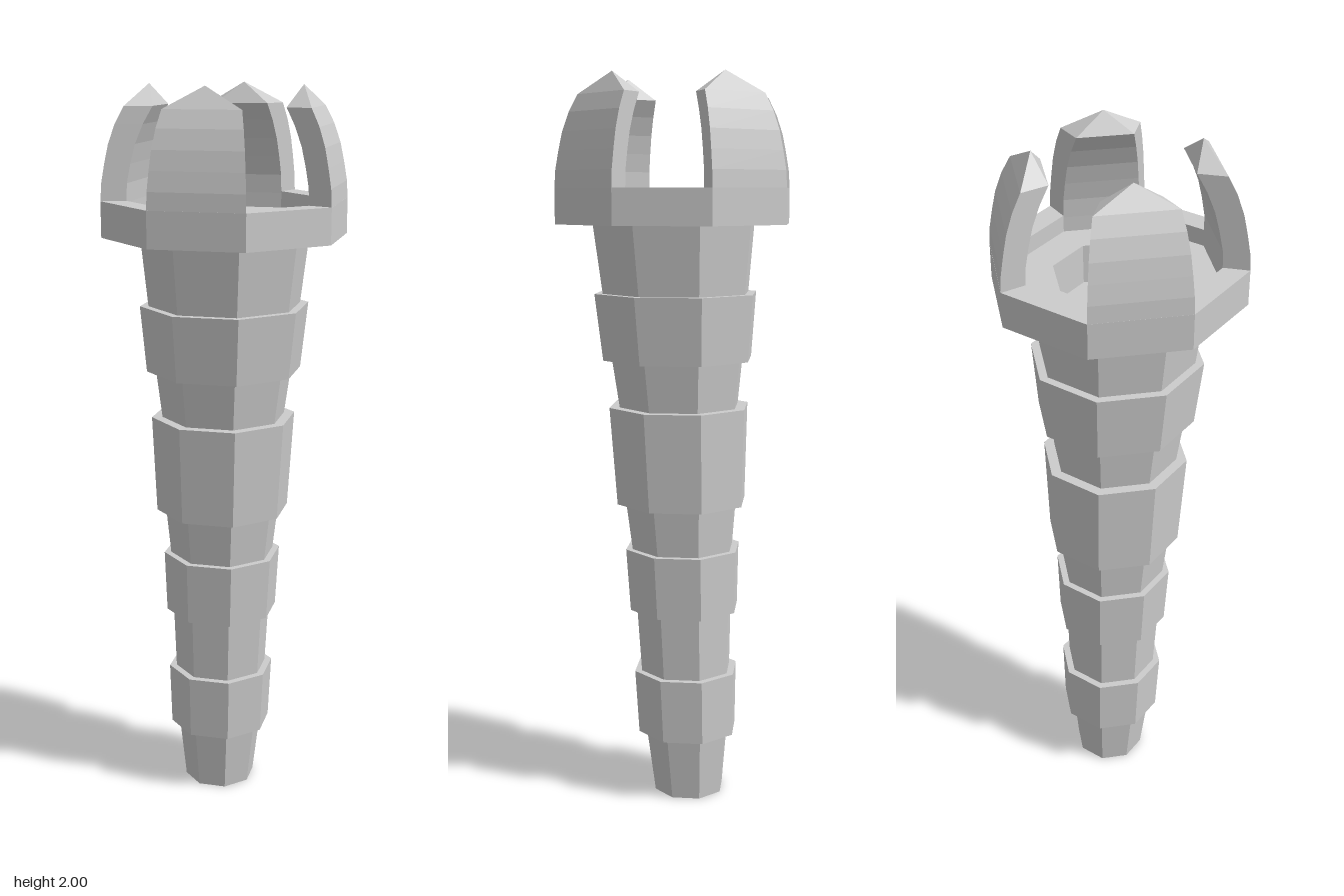
import * as THREE from 'three';

const SIDES = 8;

function material() {
  return new THREE.MeshStandardMaterial({ color: 0xcccccc, flatShading: true });
}

function octagonLathe(name, profile) {
  const points = profile.map(([r, y]) => new THREE.Vector2(r, y));
  const mesh = new THREE.Mesh(new THREE.LatheGeometry(points, SIDES), material());
  mesh.name = name;
  return mesh;
}

// Curved prong standing on one octagon face, ending in a low pyramid
function prongGeometry() {
  // height, outer radius, inner radius
  const rows = [
    [1.7, 0.33, 0.262], [1.75, 0.327, 0.26], [1.8, 0.318, 0.25],
    [1.85, 0.307, 0.237], [1.9, 0.289, 0.216], [1.945, 0.265, 0.19],
  ];
  const angles = [Math.PI / 4, Math.PI / 2];
  const positions = [];
  const index = [];
  rows.forEach(([y, outer, inner]) => {
    const corners = [[outer, angles[0]], [outer, angles[1]], [inner, angles[1]], [inner, angles[0]]];
    corners.forEach(([r, a]) => positions.push(r * Math.sin(a), y, r * Math.cos(a)));
  });
  const apex = rows.length * 4;
  positions.push(0.19, 2, 0.08);
  for (let k = 0; k < rows.length; k++) {
    for (let i = 0; i < 4; i++) {
      const a = k * 4 + i;
      const b = k * 4 + (i + 1) % 4;
      if (k < rows.length - 1) index.push(a, b, b + 4, a, b + 4, a + 4);
      else index.push(a, b, apex);
    }
  }
  const geometry = new THREE.BufferGeometry();
  geometry.setAttribute('position', new THREE.Float32BufferAttribute(positions, 3));
  geometry.setIndex(index);
  geometry.computeVertexNormals();
  return geometry;
}

export function createModel() {
  const model = new THREE.Group();

  // Tapered handle: alternating grip sections and raised bands
  // bottom height, top height, bottom radius, top radius
  const sections = [
    [0, 0.18, 0.1, 0.12], [0.18, 0.36, 0.143, 0.15],
    [0.36, 0.54, 0.13, 0.138], [0.54, 0.715, 0.157, 0.165],
    [0.715, 0.845, 0.146, 0.16], [0.845, 1.115, 0.185, 0.199],
    [1.115, 1.245, 0.17, 0.187], [1.245, 1.425, 0.212, 0.23],
    [1.425, 1.61, 0.207, 0.228],
  ];
  const profile = [[0, 0]];
  sections.forEach(([y0, y1, r0, r1]) => profile.push([r0, y0], [r1, y1]));
  const handle = octagonLathe('handle', profile);

  // Lean the handle slightly back toward its foot
  const p = handle.geometry.attributes.position;
  for (let i = 0; i < p.count; i++) {
    const t = 1 - p.getY(i) / 1.61;
    p.setX(i, p.getX(i) - 0.012 * t);
    p.setZ(i, p.getZ(i) - 0.04 * t);
  }
  handle.geometry.computeVertexNormals();
  model.add(handle);

  // Socket collar with a stepped recess
  model.add(octagonLathe('collar', [
    [0.22, 1.61], [0.33, 1.61], [0.33, 1.705], [0.262, 1.705],
    [0.262, 1.66], [0.167, 1.66], [0.165, 1.555], [0, 1.555],
  ]));

  // Four prongs on alternate faces
  const prongs = new THREE.Group();
  prongs.name = 'prongs';
  const geometry = prongGeometry();
  for (let i = 0; i < 4; i++) {
    const prong = new THREE.Mesh(geometry, material());
    prong.name = 'prong';
    prong.rotation.y = i * Math.PI / 2;
    prongs.add(prong);
  }
  model.add(prongs);

  return model;
}
